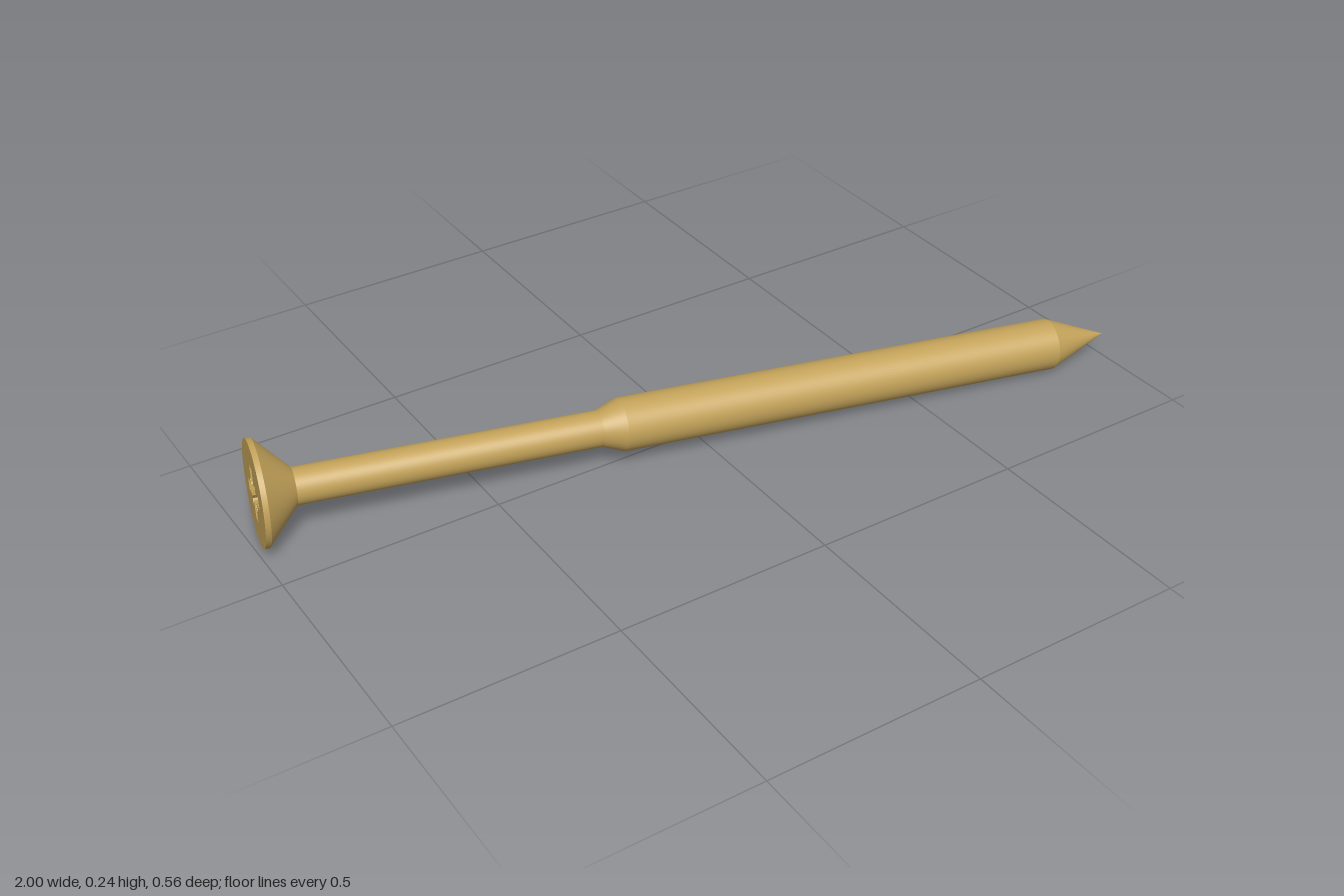
import * as THREE from 'three';

const brass = new THREE.MeshStandardMaterial({ color: 0xc4a35a });
brass.name = 'brass';

const TIP = new THREE.Vector3(1, 0.057, 0.255);
const HEAD = new THREE.Vector3(-0.976, 0.12, -0.167);
const LENGTH = TIP.distanceTo(HEAD);
const HEAD_RADIUS = 0.117;

function addMesh(parent, name, geometry) {
  const mesh = new THREE.Mesh(geometry, brass);
  mesh.name = name;
  parent.add(mesh);
}

// Cross recess outline: four wide arms with a narrow notch between each pair
function recessOutline(scale) {
  const reach = 0.06, w = 0.013, n = 0.006, s = 0.04, r2 = Math.SQRT2;
  const quarter = [
    [reach, -w], [reach, w], [w + n * r2, w],
    [(s + n) / r2, (s - n) / r2], [(s - n) / r2, (s + n) / r2], [w, w + n * r2],
  ];
  const points = [];
  for (let k = 0; k < 4; k++) {
    for (const [x, y] of quarter) {
      points.push(new THREE.Vector2(x * scale, y * scale)
        .rotateAround(new THREE.Vector2(), k * Math.PI / 2));
    }
  }
  return points;
}

// Tapering walls running from the recess opening down to its floor
function recessWalls(top, bottom, depth) {
  const positions = [];
  top.forEach((a, i) => {
    const j = (i + 1) % top.length;
    const b = top[j], c = bottom[j], d = bottom[i];
    positions.push(a.x, a.y, 0, b.x, b.y, 0, c.x, c.y, -depth);
    positions.push(a.x, a.y, 0, c.x, c.y, -depth, d.x, d.y, -depth);
  });
  const geometry = new THREE.BufferGeometry();
  geometry.setAttribute('position', new THREE.Float32BufferAttribute(positions, 3));
  geometry.computeVertexNormals();
  return geometry;
}

export function createModel() {
  const model = new THREE.Group();
  model.name = 'screw';

  // Body sections from tip to head: name, start radius, start, end radius, end
  const sections = [
    ['tip', 0, 0, 0.06, 0.151],
    ['thickShank', 0.06, 0.151, 0.06, 1.219],
    ['shoulder', 0.06, 1.219, 0.041, 1.269],
    ['neck', 0.041, 1.269, 0.041, 1.939],
    ['headCone', 0.041, 1.939, HEAD_RADIUS, LENGTH - 0.012],
    ['headRim', HEAD_RADIUS, LENGTH - 0.012, HEAD_RADIUS, LENGTH],
  ];
  for (const [name, r0, y0, r1, y1] of sections) {
    const profile = [new THREE.Vector2(r0, y0), new THREE.Vector2(r1, y1)];
    addMesh(model, name, new THREE.LatheGeometry(profile, 64));
  }

  // Flat head face with the drive recess sunk into it
  const face = new THREE.Group();
  face.name = 'headFace';
  face.rotation.x = -Math.PI / 2;
  face.position.y = LENGTH;
  const depth = 0.05;
  const opening = recessOutline(1);
  const base = recessOutline(0.6);
  const disc = new THREE.Shape().absarc(0, 0, HEAD_RADIUS, 0, Math.PI * 2, false);
  disc.holes.push(new THREE.Path(opening));
  addMesh(face, 'headDisc', new THREE.ShapeGeometry(disc, 32));
  addMesh(face, 'recessWalls', recessWalls(opening, base, depth));
  addMesh(face, 'recessFloor', new THREE.ShapeGeometry(new THREE.Shape(base)).translate(0, 0, -depth));
  model.add(face);

  // Lay the screw along the line from tip to head
  const direction = HEAD.clone().sub(TIP).normalize();
  model.quaternion.setFromUnitVectors(new THREE.Vector3(0, 1, 0), direction);
  model.position.copy(TIP);

  const root = new THREE.Group();
  root.name = 'lyingScrew';
  root.add(model);
  return root;
}
